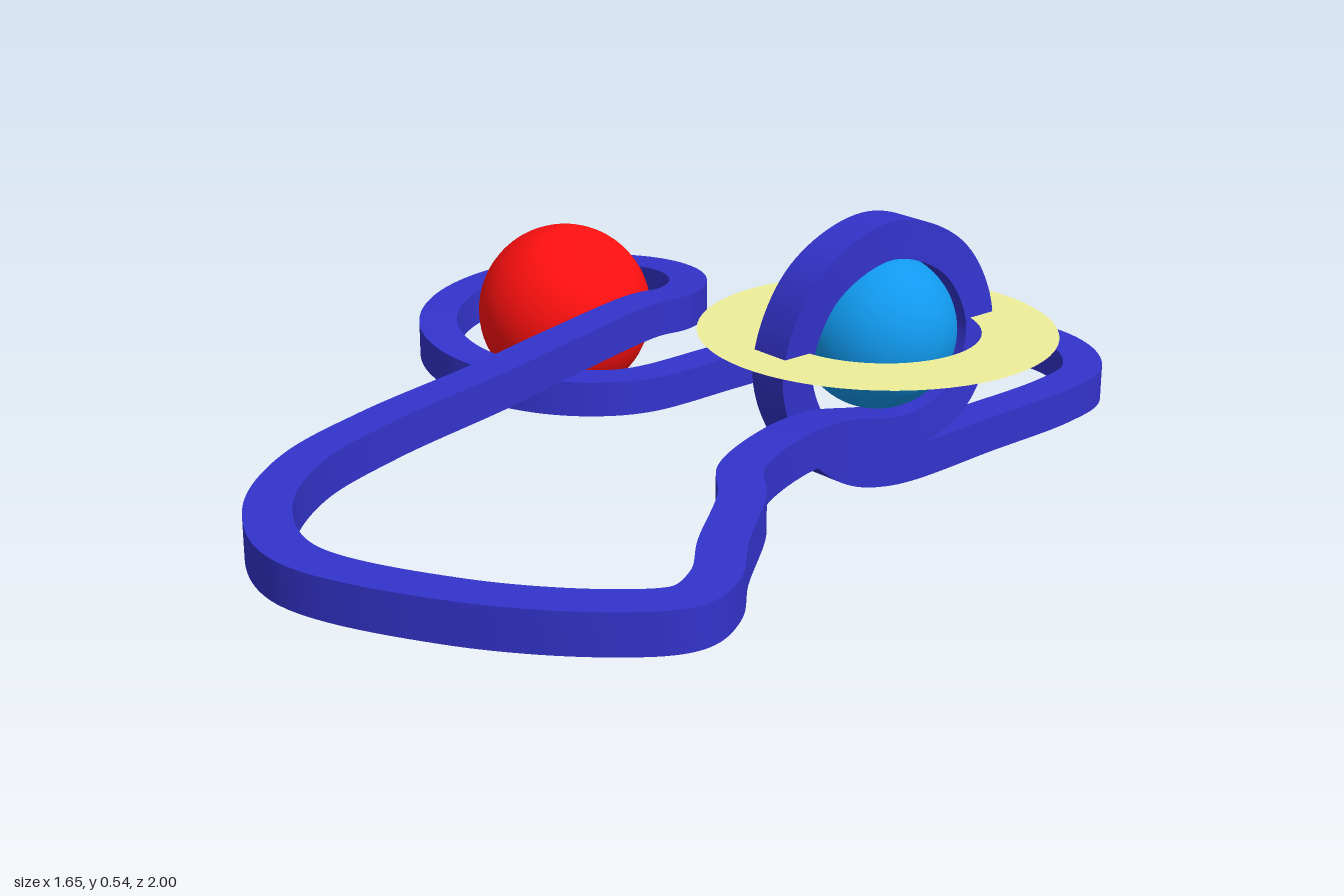
import * as THREE from 'three';

const mat = (color, side = THREE.FrontSide) => new THREE.MeshStandardMaterial({ color, side });
const HIGH = 0.227, LOW = 0.077;

// Sweep a rectangular bar along a closed path; ups tells which way its top faces.
function sweepBar(points, ups, width, height, steps) {
  const path = new THREE.CatmullRomCurve3(points, true, 'centripetal');
  const upPath = new THREE.CatmullRomCurve3(ups, true, 'catmullrom', 0.5);
  const corners = [[1, -1], [1, 1], [-1, 1], [-1, -1]];
  const pos = [], index = [];
  for (let i = 0; i < steps; i++) {
    const t = i / steps;
    const p = path.getPoint(t), tan = path.getTangent(t);
    const side = tan.clone().cross(upPath.getPoint(t)).normalize();
    const up = side.clone().cross(tan).normalize();
    // each face keeps its own two rails, so the long edges stay sharp
    for (let f = 0; f < 4; f++) {
      for (const [s, u] of [corners[f], corners[(f + 1) % 4]]) {
        const v = p.clone().addScaledVector(side, s * width / 2).addScaledVector(up, u * height / 2);
        pos.push(v.x, v.y, v.z);
      }
      const a = i * 8 + f * 2, n = ((i + 1) % steps) * 8 + f * 2;
      index.push(a, n, a + 1, a + 1, n, n + 1);
    }
  }
  const geo = new THREE.BufferGeometry();
  geo.setAttribute('position', new THREE.Float32BufferAttribute(pos, 3));
  geo.setIndex(index);
  geo.computeVertexNormals();
  return geo;
}

export function createModel() {
  const group = new THREE.Group();
  const add = (name, geo, material, x = 0, y = 0, z = 0) => {
    const m = new THREE.Mesh(geo, material);
    m.name = name;
    m.position.set(x, y, z);
    group.add(m);
    return m;
  };

  const points = [], ups = [];
  const put = (x, y, z, up = new THREE.Vector3(0, 1, 0)) => {
    points.push(new THREE.Vector3(x, y, z));
    ups.push(up);
  };

  // low back bend, from the vertical loop round to the red ball
  for (const [x, z] of [[0.275, -0.54], [0.268, -0.75], [0.24, -0.86], [0.15, -0.94], [0.03, -0.965],
    [-0.13, -0.905], [-0.24, -0.765], [-0.28, -0.63], [-0.283, -0.4]]) put(x, LOW, z);

  // one rising turn around the red ball
  const turn = 16;
  for (let i = 0; i <= turn; i++) {
    const a = i / turn * Math.PI * 2;
    put(-0.537 + 0.25 * Math.cos(a), LOW + (HIGH - LOW) * i / turn, -0.187 + 0.25 * Math.sin(a));
  }

  // high front bend
  for (const [x, z] of [[-0.22, 0.06], [-0.155, 0.27], [-0.08, 0.555], [0, 0.75], [0.135, 0.895],
    [0.31, 0.955], [0.56, 0.85], [0.73, 0.705], [0.783, 0.615], [0.755, 0.54], [0.675, 0.455],
    [0.56, 0.315], [0.475, 0.24], [0.41, 0.09]]) put(x, HIGH, z);

  // vertical loop around the blue ball, its top facing inward
  put(0.38, 0.217, -0.03);
  for (const [x, y, z] of [[0.355, 0.18, -0.23], [0.345, 0.22, -0.36], [0.335, 0.335, -0.412],
    [0.322, 0.455, -0.36], [0.31, 0.515, -0.22], [0.3, 0.455, -0.075], [0.29, 0.32, -0.017],
    [0.283, 0.2, -0.06], [0.278, 0.115, -0.15]]) {
    put(x, y, z, new THREE.Vector3(0, 0.335 - y, -0.217 - z).normalize());
  }
  put(0.275, LOW, -0.27);

  add('track', sweepBar(points, ups, 0.075, 0.068, 600), mat(0x3333cc));

  // balls
  add('redBall', new THREE.SphereGeometry(0.172, 48, 32), mat(0xff1010), -0.535, 0.177, -0.19);
  add('blueBall', new THREE.SphereGeometry(0.138, 48, 32), mat(0x1199ee), 0.31, 0.347, -0.22);

  // flat ring around the blue ball
  const ring = add('flatRing', new THREE.RingGeometry(0.18, 0.312, 64),
    mat(0xeeee99, THREE.DoubleSide), 0.31, 0.347, -0.22);
  ring.rotation.x = -Math.PI / 2;

  return group;
}
